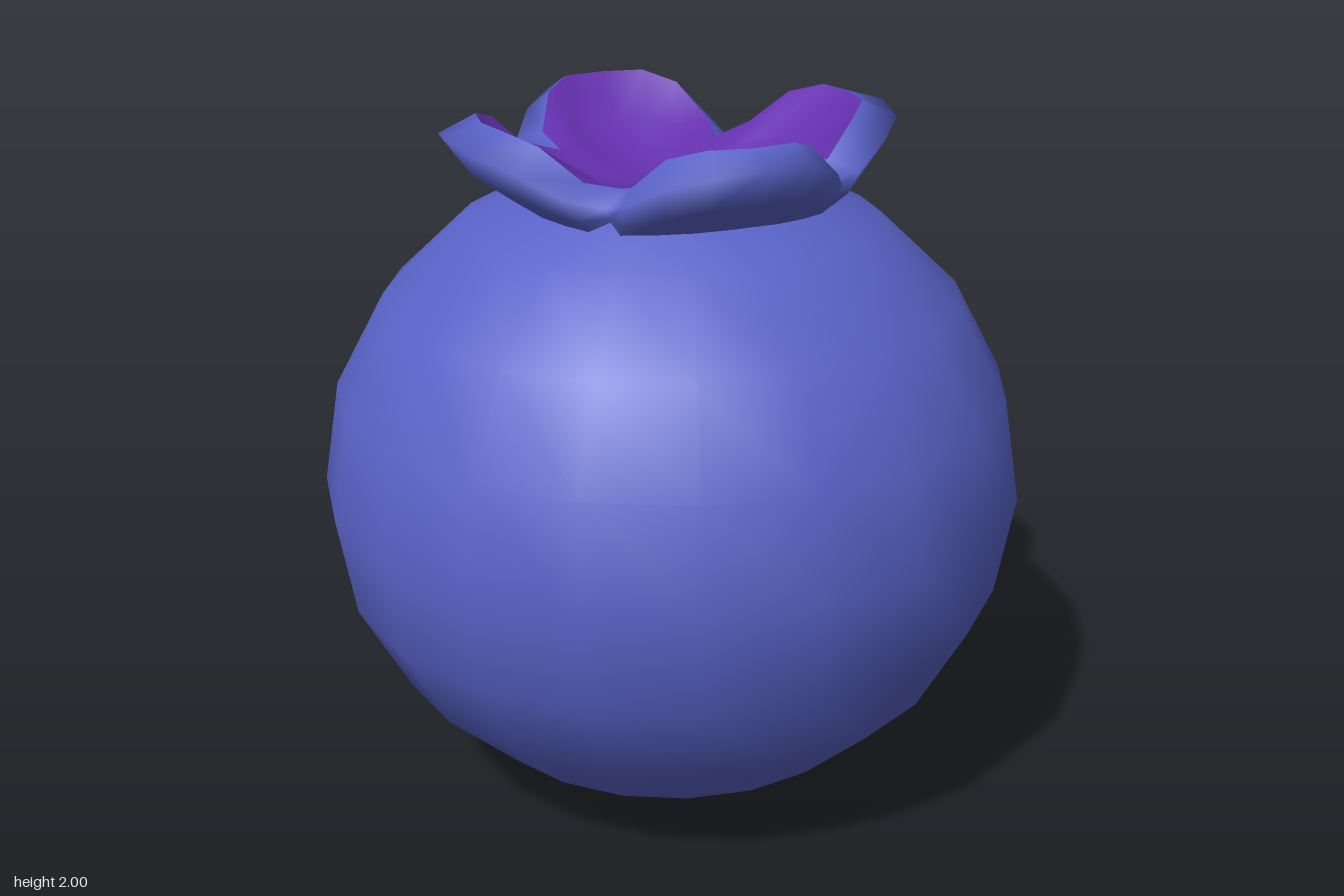
import * as THREE from 'three';

const skin = new THREE.MeshStandardMaterial({ color: 0x5963c8 });
skin.name = 'blueSkin';
const flesh = new THREE.MeshStandardMaterial({ color: 0x6530b0 });
flesh.name = 'purpleInside';

// Half-petal rings, from petal centre line to notch: [across, outward, height]
const base = [[0, 0.4, 1.74], [0.13, 0.39, 1.74], [0.22, 0.36, 1.74], [0.28, 0.33, 1.74], [0.28, 0.28, 1.75]];
const belly = [[0, 0.57, 1.86], [0.13, 0.54, 1.85], [0.22, 0.47, 1.82], [0.3, 0.39, 1.79], [0.295, 0.295, 1.79]];
const edge = [[0, 0.65, 1.97], [0.14, 0.62, 1.95], [0.24, 0.53, 1.91], [0.31, 0.42, 1.85], [0.31, 0.31, 1.82]];
const ridge = [[0, 0.54, 2.0], [0.12, 0.52, 2.0], [0.2, 0.45, 1.97], [0.255, 0.35, 1.88], [0.24, 0.24, 1.85]];
const bowl = [[0, 0.42, 1.87], [0.1, 0.4, 1.87], [0.16, 0.34, 1.86], [0.18, 0.26, 1.845], [0.17, 0.17, 1.83]];
const floor = [[0, 0.2, 1.8], [0.04, 0.19, 1.8], [0.08, 0.17, 1.8], [0.1, 0.14, 1.8], [0.11, 0.11, 1.8]];
const middle = floor.map(() => [0, 0, 1.79]);

// Repeats each half-petal ring around four petals and skins between rings
function petalLoft(rings) {
  const count = 32, pos = [], index = [];
  for (const ring of rings) {
    for (let p = 0; p < 4; p++) {
      const c = Math.cos(p * Math.PI / 2), s = Math.sin(p * Math.PI / 2);
      for (let k = -3; k <= 4; k++) {
        const [across, out, y] = ring[Math.abs(k)];
        const a = Math.sign(k) * across;
        pos.push(a * c + out * s, y, out * c - a * s);
      }
    }
  }
  for (let r = 0; r < rings.length - 1; r++) {
    for (let j = 0; j < count; j++) {
      const n = (j + 1) % count;
      const a = r * count + j, b = r * count + n;
      index.push(a, b, b + count, a, b + count, a + count);
    }
  }
  const g = new THREE.BufferGeometry();
  g.setAttribute('position', new THREE.Float32BufferAttribute(pos, 3));
  g.setIndex(index);
  g.computeVertexNormals();
  return g;
}

export function createModel() {
  const group = new THREE.Group();
  group.name = 'berry';
  const add = (name, geometry, material) => {
    const mesh = new THREE.Mesh(geometry, material);
    mesh.name = name;
    group.add(mesh);
    return mesh;
  };

  // Slightly squashed ball, open at the top under the crown
  const body = add('body', new THREE.SphereGeometry(1, 20, 9, 0, Math.PI * 2, Math.PI / 10, Math.PI * 0.9), skin);
  body.scale.y = 0.937;
  body.position.y = 0.937;

  // Four-petal crown and its hollow inside
  add('crown', petalLoft([base, belly, edge, ridge]), skin);
  add('crownInside', petalLoft([ridge, bowl, floor, middle]), flesh);
  return group;
}
